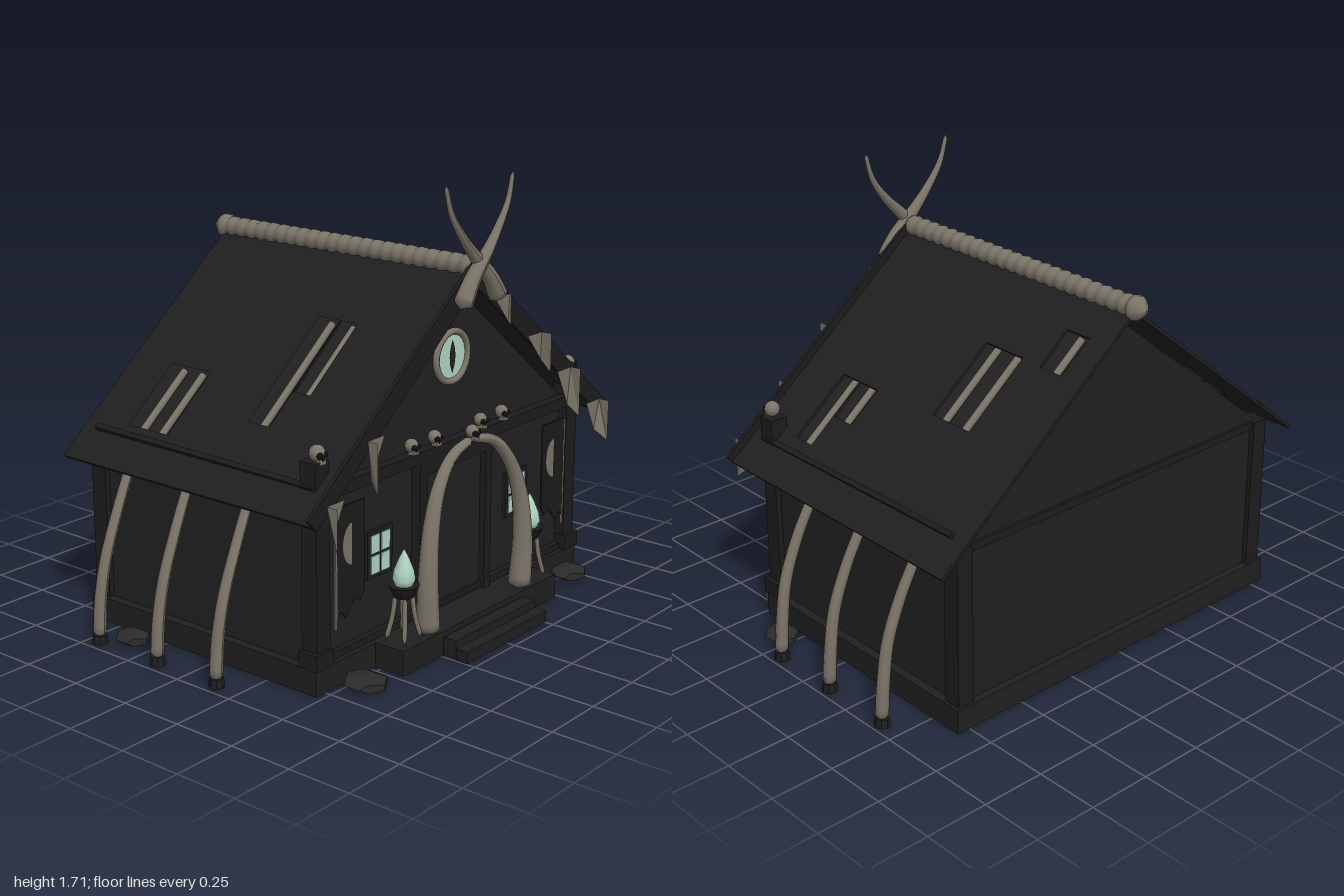
import * as THREE from 'three';

const mat = (name, color, extra = {}) => Object.assign(new THREE.MeshStandardMaterial({ color, ...extra }), { name });

export function createModel() {
  const model = new THREE.Group();
  model.name = 'boneHouse';
  const wall = mat('charred wall', 0x202020);
  const roofMat = mat('black roof', 0x1f1f20, { flatShading: true });
  const trim = mat('dark trim', 0x1c1c1c);
  const stone = mat('dark stone', 0x1f1f1f, { flatShading: true });
  const rubble = mat('grey rubble', 0x2b2b29, { flatShading: true });
  const bone = mat('old bone', 0x7a7367, { side: THREE.DoubleSide });
  const glow = mat('pale glow', 0xb0d4c3);
  const black = mat('black', 0x0f0f0f);
  const cloth = mat('cloth', 0x1a1a1a, { side: THREE.DoubleSide });

  const add = (name, geo, m, x = 0, y = 0, z = 0, parent = model) => {
    const mesh = new THREE.Mesh(geo, m);
    mesh.name = name;
    mesh.position.set(x, y, z);
    parent.add(mesh);
    return mesh;
  };
  // box given by its limits
  const box = (name, m, x0, x1, y0, y1, z0, z1) =>
    add(name, new THREE.BoxGeometry(x1 - x0, y1 - y0, z1 - z0), m, (x0 + x1) / 2, (y0 + y1) / 2, (z0 + z1) / 2);
  const vec2 = pts => pts.map(p => new THREE.Vector2(...p));
  const extrude = (name, m, pts, z0, z1) =>
    add(name, new THREE.ExtrudeGeometry(new THREE.Shape(vec2(pts)), { depth: z1 - z0, bevelEnabled: false }), m, 0, 0, z0);
  // closed tube whose radius follows a rule
  const taper = (name, m, pts, radius, sides = 10, n = 28) => {
    const curve = new THREE.CatmullRomCurve3(pts.map(p => new THREE.Vector3(...p)));
    const geo = new THREE.TubeGeometry(curve, n, 1, sides);
    const pos = geo.attributes.position, v = new THREE.Vector3();
    for (let i = 0; i < pos.count; i++) {
      const ring = Math.floor(i / (sides + 1)), t = ring / n;
      const c = curve.getPointAt(t);
      v.fromBufferAttribute(pos, i).sub(c).multiplyScalar(ring === 0 || ring === n ? 0 : radius(t)).add(c);
      pos.setXYZ(i, v.x, v.y, v.z);
    }
    geo.computeVertexNormals();
    return add(name, geo, m);
  };
  const skull = (x, y, z, r) => {
    const g = new THREE.Group();
    g.name = 'skull';
    g.position.set(x, y, z);
    model.add(g);
    add('cranium', new THREE.SphereGeometry(r, 12, 8), bone, 0, 0, 0, g);
    add('jaw', new THREE.BoxGeometry(r * 1.1, r * 0.8, r), bone, 0, -r * 0.8, r * 0.35, g);
    for (const s of [-1, 1]) add('eyeSocket', new THREE.SphereGeometry(r * 0.42, 8, 6), black, s * r * 0.42, -r * 0.12, r * 0.75, g);
    add('noseHole', new THREE.SphereGeometry(r * 0.22, 6, 4), black, 0, -r * 0.58, r * 0.85, g);
  };

  // foundation, porch and steps
  box('foundation', stone, -0.805, 0.805, 0.005, 0.1, -0.64, 0.48);
  box('porch', stone, -0.48, 0.48, 0.005, 0.1, 0.47, 0.605);
  box('upperStep', stone, -0.25, 0.25, 0.01, 0.08, 0.61, 0.666);
  box('lowerStep', stone, -0.25, 0.25, 0.005, 0.05, 0.668, 0.718);

  // walls with gables
  extrude('walls', wall, [[-0.77, 0.1], [0.77, 0.1], [0.77, 0.705], [0, 1.325], [-0.77, 0.705]], -0.61, 0.435);
  for (const s of [-1, 1]) {
    for (const z of [-0.595, 0.44]) {
      const x = s * 0.757;
      box('cornerPost', trim, x - 0.035, x + 0.035, 0.1, 0.72, z - 0.035, z + 0.035);
    }
    box('postFoot', trim, s * 0.765 - 0.045, s * 0.765 + 0.045, 0.1, 0.16, 0.405, 0.488);
  }
  box('frontBeam', trim, -0.73, 0.73, 0.70, 0.745, 0.43, 0.475);
  box('frontSill', trim, -0.72, 0.72, 0.1, 0.125, 0.43, 0.46);
  box('rearBeam', trim, -0.73, 0.73, 0.69, 0.72, -0.622, -0.6);

  // barge boards
  extrude('bargeBoard', trim, [[0, 1.428], [-0.912, 0.69], [-0.868, 0.645], [0, 1.325], [0.868, 0.645], [0.912, 0.69]], 0.53, 0.545);

  // roof holes by side: x range, z range, rafters as [z, x0, x1]
  const peak = 1.388, slope = 0.805, stretch = Math.hypot(1, slope), pitch = Math.atan(slope);
  const holes = {
    1: [
      [0.25, 0.505, -0.37, -0.175, [[-0.325, 0.23, 0.52], [-0.22, 0.23, 0.52]]],
      [0.51, 0.635, 0.13, 0.234, [[0.182, 0.49, 0.65]]],
      [0.51, 0.74, 0.237, 0.33, [[0.28, 0.49, 0.74]]],
      [0.125, 0.255, -0.57, -0.46, [[-0.52, 0.11, 0.27]]],
    ],
    [-1]: [
      [0.515, 0.745, -0.47, -0.275, [[-0.42, 0.5, 0.745], [-0.325, 0.5, 0.745]]],
      [0.255, 0.64, 0.03, 0.129, [[0.08, 0.24, 0.65]]],
      [0.255, 0.515, 0.132, 0.21, [[0.182, 0.24, 0.53]]],
    ],
  };
  const rect = (s, x0, x1, z0, z1) =>
    vec2([[x0, z0], [x1, z0], [x1, z1], [x0, z1]].map(([x, z]) => [s * x * stretch, z]));
  for (const s of [1, -1]) {
    // thin sheet with torn holes, bare rafters just below it
    const sheet = new THREE.Shape(rect(s, 0, 0.895, -0.67, 0.532));
    for (const [x0, x1, z0, z1, rafters] of holes[s]) {
      sheet.holes.push(new THREE.Path(rect(s, x0, x1, z0, z1)));
      for (const [z, a, b] of rafters) {
        const geo = new THREE.CylinderGeometry(0.014, 0.014, (b - a) * stretch, 8).rotateZ(Math.PI / 2);
        const x = (a + b) / 2;
        add('rafter', geo, bone, s * x, peak - slope * x - 0.034, z).rotation.z = -s * pitch;
      }
    }
    const geo = new THREE.ExtrudeGeometry(sheet, { depth: 0.012, bevelEnabled: false }).rotateX(Math.PI / 2);
    add('roof', geo, roofMat, 0, peak, 0).rotation.z = -s * pitch;
  }

  // ridge of vertebrae
  const profile = [[0, -0.54]], beads = 23;
  for (let i = 0; i <= beads * 4; i++) {
    profile.push([0.033 + 0.008 * Math.abs(Math.sin(i * Math.PI / 4)), -0.535 + 1.185 * i / (beads * 4)]);
  }
  profile.push([0.046, 0.66], [0.046, 0.68], [0.026, 0.705], [0, 0.718]);
  add('spineRidge', new THREE.LatheGeometry(vec2(profile), 12).rotateX(-Math.PI / 2), bone, 0, 1.396, 0);

  // folded bone fang: a front triangle and a longer side face turned forward
  const fangGeometry = (h, lean, depth) => {
    const w = 0.046, b = [w, 0, 0], c = [w * lean, -h, 0], d = [w, 0, depth], e = [w, -h - depth, depth];
    const geo = new THREE.BufferGeometry();
    geo.setAttribute('position', new THREE.Float32BufferAttribute([[-w, 0, 0], c, b, b, e, c, b, d, e].flat(), 3));
    geo.computeVertexNormals();
    return geo;
  };

  for (const s of [-1, 1]) {
    // eave rail and corner finials
    const rail = box('eaveRail', trim, s * 0.785 - 0.01, s * 0.785 + 0.01, 0.748, 0.772, -0.6, 0.46);
    rail.rotation.z = -s * 0.67;
    rail.rotation.x = 0.01;
    box('finialPost', trim, s * 0.76 - 0.035, s * 0.76 + 0.035, 0.72, 0.845, 0.405, 0.475);
    skull(s * 0.757, 0.872, 0.45, 0.03);

    // crossed horns at the gable peak
    taper('horn', bone, [[-s * 0.115, 1.265, 0.565], [-s * 0.05, 1.36, 0.565], [s * 0.03, 1.445, 0.562 + s * 0.006],
      [s * 0.11, 1.525, 0.56], [s * 0.168, 1.61, 0.558], [s * 0.2, 1.715, 0.555]], t => 0.031 * (1 - t) ** 1.4 + 0.008);

    // door arch tusks
    taper('archTusk', bone, [[s * 0.287, 0.085, 0.565], [s * 0.295, 0.3, 0.57], [s * 0.275, 0.48, 0.565],
      [s * 0.222, 0.62, 0.555], [s * 0.13, 0.72, 0.545], [0, 0.76, 0.54]], t => 0.046 - 0.03 * t, 12);

    // side ribs with dark feet
    for (const z of [0.165, -0.125, -0.425]) {
      taper('sideRib', bone, [[s * 0.76, 0.71, z], [s * 0.81, 0.61, z], [s * 0.87, 0.49, z + 0.005],
        [s * 0.932, 0.33, z + 0.005], [s * 0.96, 0.18, z], [s * 0.972, 0.03, z]], t => 0.018 + 0.007 * t, 8);
      add('ribFoot', new THREE.CylinderGeometry(0.026, 0.03, 0.034, 8), stone, s * 0.97, 0.03, z);
    }

    // windows
    const wx = s * 0.42;
    box('windowFrame', trim, wx - 0.07, wx + 0.07, 0.33, 0.51, 0.43, 0.45);
    for (const px of [-0.029, 0.029]) for (const py of [-0.039, 0.039]) {
      const cx = wx + px, cy = 0.42 + py;
      box('windowPane', glow, cx - 0.024, cx + 0.024, cy - 0.034, cy + 0.034, 0.448, 0.454);
    }

    // braziers
    const bx = s * 0.39, bz = 0.535;
    const flame = [[0, 0], [0.032, 0.004], [0.042, 0.03], [0.036, 0.065], [0.018, 0.11], [0, 0.145]];
    add('flame', new THREE.LatheGeometry(vec2(flame), 10), glow, bx, 0.3, bz);
    add('brazierBowl', new THREE.CylinderGeometry(0.057, 0.035, 0.045, 12), trim, bx, 0.285, bz);
    for (let i = 0; i < 4; i++) {
      const a = Math.PI / 4 + i * Math.PI / 2, c = Math.cos(a), d = Math.sin(a);
      taper('brazierLeg', bone, [[bx + c * 0.03, 0.275, bz + d * 0.03], [bx + c * 0.04, 0.19, bz + d * 0.04],
        [bx + c * 0.068, 0.1, bz + d * 0.06]], () => 0.009, 6, 8);
    }

    // torn banners with a half moon
    const banner = extrude('banner', cloth, [[-0.075, 0.665], [0.075, 0.665], [0.075, 0.26], [0.05, 0.28],
      [0.03, 0.25], [-0.02, 0.31], [-0.05, 0.29], [-0.075, 0.33]], 0.478, 0.484);
    banner.position.x = s * 0.62;
    banner.scale.x = s;
    box('bannerEdge', bone, s * 0.699 - 0.004, s * 0.699 + 0.004, 0.22, 0.66, 0.476, 0.484);
    const moon = add('halfMoon', new THREE.CircleGeometry(0.078, 16, Math.PI / 2, Math.PI), bone, s > 0 ? 0.62 : -0.617, 0.518, 0.487);
    moon.scale.x = 0.65;

    // fangs hanging below the barge boards
    const fangs = [[0.572, 0.9, 0.145, 0.6, 0.045], [0.785, 0.725, 0.12, 0.3, 0.045]];
    if (s > 0) fangs.push([0.15, 1.265, 0.107, 0.9, 0.008], [0.365, 1.08, 0.107, 0.95, 0.045]);
    for (const [x, y, h, lean, depth] of fangs) add('fang', fangGeometry(h, lean, depth), bone, s * x, y, 0.555).scale.x = s;
  }

  // door
  box('door', wall, -0.18, 0.18, 0.1, 0.65, 0.43, 0.45);
  for (const s of [-1, 1]) box('doorJamb', trim, s * 0.2 - 0.02, s * 0.2 + 0.02, 0.1, 0.69, 0.43, 0.475);
  box('doorLintel', trim, -0.22, 0.22, 0.65, 0.7, 0.43, 0.475);

  // round eye window
  add('eyeRing', new THREE.TorusGeometry(0.094, 0.013, 8, 28), bone, 0, 1.05, 0.443);
  add('eyeGlass', new THREE.CircleGeometry(0.09, 28), glow, 0, 1.05, 0.441);
  const pupil = new THREE.Shape();
  pupil.moveTo(0, -0.062);
  pupil.quadraticCurveTo(0.034, 0, 0, 0.062);
  pupil.quadraticCurveTo(-0.034, 0, 0, -0.062);
  add('eyePupil', new THREE.ShapeGeometry(pupil), wall, 0, 1.05, 0.446);

  // row of skulls over the door
  for (const x of [-0.275, -0.14, 0, 0.14, 0.275]) skull(x, 0.785, x ? 0.475 : 0.54, 0.026);

  // ground rocks
  for (const [x, z, rx, rz] of [[-0.63, 0.56, 0.085, 0.09], [0.69, 0.53, 0.085, 0.08], [0.88, 0.285, 0.065, 0.075], [-0.88, -0.345, 0.065, 0.075]]) {
    add('rock', new THREE.DodecahedronGeometry(1).scale(rx, 0.028, rz), rubble, x, 0.028, z);
  }
  return model;
}
